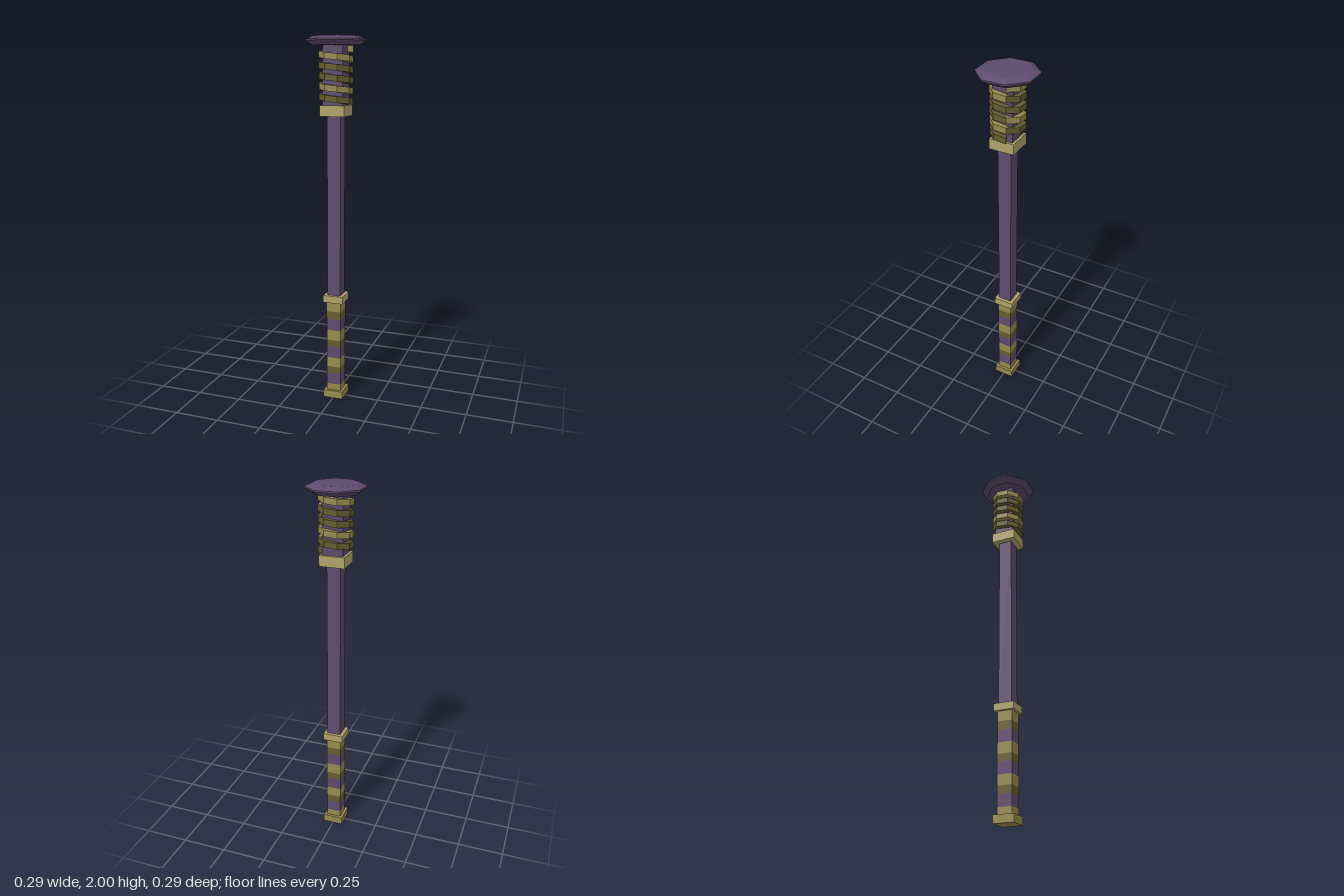
import * as THREE from 'three';

const mat = (name, color) => {
  const m = new THREE.MeshStandardMaterial({ color });
  m.name = name;
  return m;
};

export function createModel() {
  const purple = mat('purple', 0x5e4b6d);
  const lightGold = mat('lightGold', 0xb0a26a);
  const gold = mat('gold', 0x978a4f);
  const darkGold = mat('darkGold', 0x665c30);

  const model = new THREE.Group();
  model.name = 'staff';
  const add = (name, geometry, material, parent = model) => {
    const mesh = new THREE.Mesh(geometry, material);
    mesh.name = name;
    parent.add(mesh);
    return mesh;
  };

  // Square block between two heights
  const block = (name, half, y0, y1, material, parent) => {
    const g = new THREE.BoxGeometry(half * 2, y1 - y0, half * 2);
    g.translate(0, (y0 + y1) / 2, 0);
    return add(name, g, material, parent);
  };

  // Square shaft with its collars
  block('pommel', 0.056, 0, 0.043, gold);
  block('shaft', 0.037, 0.61, 1.593, purple);
  block('lowerCollar', 0.056, 0.57, 0.61, lightGold);
  block('upperCollar', 0.068, 1.593, 1.65, lightGold);
  block('headCore', 0.055, 1.65, 1.96, purple);

  // Lower grip: stacked bands, each wrap gold above and shaded gold below
  const grip = new THREE.Group();
  grip.name = 'stripedGrip';
  model.add(grip);
  const bands = [
    [0.043, gold], [0.08, purple], [0.145, darkGold], [0.185, gold],
    [0.24, purple], [0.305, darkGold], [0.345, gold],
    [0.405, purple], [0.47, darkGold], [0.515, gold], [0.57],
  ];
  for (let i = 0; i < bands.length - 1; i++) {
    block('gripBand' + (i + 1), 0.041, bands[i][0], bands[i + 1][0], bands[i][1], grip);
  }

  // Octagonal bevelled cap
  const k = 1 / Math.cos(Math.PI / 8);
  const profile = [[0, 1.953], [0.112, 1.953], [0.144, 1.976], [0.144, 1.984], [0.11, 2], [0, 2]]
    .map(([r, y]) => new THREE.Vector2(r * k, y));
  const cap = new THREE.LatheGeometry(profile, 8).toNonIndexed();
  cap.rotateY(Math.PI / 8);
  cap.computeVertexNormals();
  add('cap', cap, purple);

  // One turn of the coil: a rectangular section swept down eight straight sides
  const coilTurn = (turn) => {
    const pos = [];
    const section = [[0.055, -0.016], [0.09, -0.016], [0.09, 0.016], [0.055, 0.016]];
    const ring = (i) => {
      const a = -Math.PI + (i + 0.5) * Math.PI / 4;
      const y = 1.935 - 0.0535 * (turn + i / 8);
      return section.map(([r, dy]) => [-r * Math.cos(a), y + dy, r * Math.sin(a)]);
    };
    for (let i = 0; i < 8; i++) {
      const p = ring(i), q = ring(i + 1);
      for (let c = 0; c < 4; c++) {
        const d = (c + 1) % 4;
        pos.push(...p[c], ...q[c], ...q[d], ...p[c], ...q[d], ...p[d]);
      }
    }
    const s = ring(0), e = ring(8);
    pos.push(...s[0], ...s[1], ...s[2], ...s[0], ...s[2], ...s[3]);
    pos.push(...e[0], ...e[2], ...e[1], ...e[0], ...e[3], ...e[2]);
    const g = new THREE.BufferGeometry();
    g.setAttribute('position', new THREE.Float32BufferAttribute(pos, 3));
    g.computeVertexNormals();
    return g;
  };

  const coil = new THREE.Group();
  coil.name = 'coil';
  model.add(coil);
  [gold, darkGold, darkGold, gold, darkGold].forEach((m, i) => {
    add('coilTurn' + (i + 1), coilTurn(i), m, coil);
  });

  return model;
}
